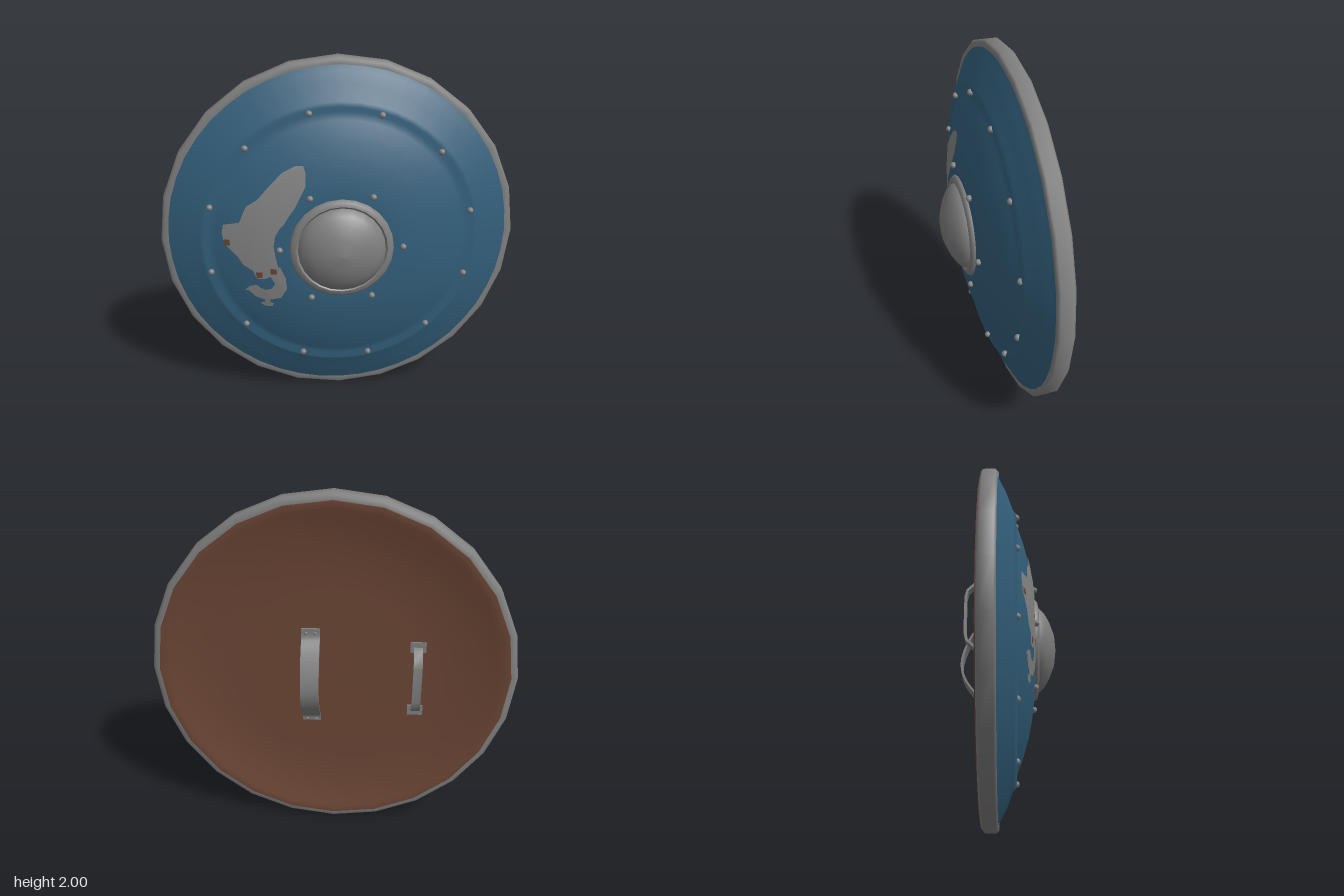
import * as THREE from 'three';
import { toCreasedNormals } from 'three/addons/utils/BufferGeometryUtils.js';

const material = (name, color, side = THREE.FrontSide) => {
  const m = new THREE.MeshStandardMaterial({ color, side });
  m.name = name;
  return m;
};
const V2 = ([x, y]) => new THREE.Vector2(x, y);

// front surface of the board as [radius, z], from edge to centre
const FRONT = [[0.965, -0.055], [0.93, -0.04], [0.87, -0.008], [0.78, 0.026], [0.757, 0.044],
  [0.73, 0.03], [0.69, 0.05], [0.6, 0.082], [0.5, 0.11], [0.4, 0.13], [0.3, 0.142], [0, 0.15]];

function frontZ(r) {
  for (let i = 1; i < FRONT.length; i++) {
    const [r0, z0] = FRONT[i - 1], [r1, z1] = FRONT[i];
    if (r >= r1) return z1 + (z0 - z1) * (r - r1) / (r0 - r1);
  }
  return 0.15;
}

export function createModel() {
  const model = new THREE.Group();
  model.name = 'roundShield';
  const shield = new THREE.Group();
  shield.name = 'shield';
  shield.position.y = 1;
  model.add(shield);

  const blue = material('bluePaint', 0x33607c);
  const brown = material('brownWood', 0x6b4635, THREE.DoubleSide);
  const metal = material('greyMetal', 0x808080);
  const paint = material('greyPaint', 0x858585, THREE.DoubleSide);

  const add = (name, geometry, mat) => {
    const mesh = new THREE.Mesh(geometry, mat);
    mesh.name = name;
    shield.add(mesh);
    return mesh;
  };
  // lathe around the z axis
  const turn = (name, points, sides, mat, crease) => {
    let g = new THREE.LatheGeometry(points.map(V2), sides).rotateX(Math.PI / 2);
    if (crease) g = toCreasedNormals(g, crease);
    return add(name, g, mat);
  };

  // board, backing and rim
  turn('frontBoard', FRONT, 48, blue);
  turn('backBoard', [[0, -0.135], [0.5, -0.135], [0.9, -0.136], [0.925, -0.148], [0.962, -0.146], [0.965, -0.13]],
    24, brown, 0.6);
  turn('rim', [[0.93, -0.136], [0.95, -0.141], [0.985, -0.14], [1, -0.127], [1, -0.062], [0.987, -0.05], [0.955, -0.052]],
    24, metal, 0.9);

  // central boss
  turn('bossCollar', [[0.285, 0.135], [0.285, 0.15], [0.272, 0.162], [0.25, 0.167], [0.238, 0.155]], 24, metal, 0.9);
  turn('bossDome', [[0.24, 0.15], [0.238, 0.172], [0.21, 0.2], [0.165, 0.227], [0.09, 0.256], [0, 0.266]], 24, metal);

  // rivets: an outer ring on the ridge and an inner ring round the boss
  const rivet = new THREE.SphereGeometry(0.018, 10, 6);
  for (const [name, count, radius, start] of [['ridgeRivet', 12, 0.742, 0.222], ['bossRivet', 6, 0.338, 0]]) {
    for (let i = 0; i < count; i++) {
      const a = start + (i / count) * Math.PI * 2;
      add(name, rivet, metal).position.set(radius * Math.cos(a), radius * Math.sin(a), frontZ(radius) + 0.008);
    }
  }

  // painted patches: rows of [x0, y0, x1, y1] laid on the curved front
  const painted = (name, rows, mat, lift = 0.005) => {
    const pos = [], index = [], n = 8, m = 3;
    const steps = (rows.length - 1) * m;
    for (let s = 0; s <= steps; s++) {
      const i = Math.min(Math.floor(s / m), rows.length - 2), t = s / m - i;
      const [x0, y0, x1, y1] = rows[i].map((v, k) => v + (rows[i + 1][k] - v) * t);
      for (let j = 0; j <= n; j++) {
        const x = x0 + (x1 - x0) * j / n, y = y0 + (y1 - y0) * j / n - 1;
        pos.push(x, y, frontZ(Math.hypot(x, y)) + lift);
        if (s < steps && j < n) {
          const a = s * (n + 1) + j, b = a + n + 1;
          index.push(a, b, a + 1, b, b + 1, a + 1);
        }
      }
    }
    const g = new THREE.BufferGeometry();
    g.setAttribute('position', new THREE.Float32BufferAttribute(pos, 3));
    g.setIndex(index);
    g.computeVertexNormals();
    return add(name, g, mat);
  };
  painted('paintedWing', [[1.465, -0.24, -0.2], [1.43, -0.31, -0.19], [1.36, -0.38, -0.19], [1.28, -0.45, -0.23],
    [1.24, -0.51, -0.25], [1.2, -0.53, -0.28], [1.15, -0.55, -0.31], [1.13, -0.64, -0.33], [1.08, -0.65, -0.36],
    [1.02, -0.64, -0.37], [0.95, -0.57, -0.36], [0.9, -0.54, -0.35], [0.87, -0.49, -0.34], [0.82, -0.47, -0.42]]
    .map(([y, a, b]) => [a, y, b, y]), paint);
  painted('paintedTail', [[-0.42, 0.86, -0.34, 0.9], [-0.39, 0.83, -0.31, 0.83], [-0.37, 0.79, -0.305, 0.76],
    [-0.39, 0.76, -0.34, 0.7], [-0.42, 0.75, -0.42, 0.68], [-0.45, 0.76, -0.48, 0.7], [-0.47, 0.78, -0.52, 0.74],
    [-0.51, 0.77, -0.54, 0.74]], paint, 0.006);
  painted('paintedTip', [[-0.43, 0.7, -0.4, 0.7], [-0.43, 0.67, -0.4, 0.67], [-0.46, 0.66, -0.38, 0.66],
    [-0.43, 0.64, -0.39, 0.64]], paint, 0.006);
  // small worn spots
  for (const [x, y] of [[-0.625, 1.03], [-0.455, 0.845], [-0.375, 0.87], [-0.24, 0.895]]) {
    painted('wornSpot', [[x - 0.017, y + 0.017, x + 0.017, y + 0.017], [x - 0.017, y - 0.017, x + 0.017, y - 0.017]],
      brown, 0.009);
  }

  // bent metal strip: path of [z, y], extruded across x
  const strip = (name, path, x, width, thick) => {
    const left = [], right = [];
    path.forEach((p, i) => {
      const a = path[Math.max(i - 1, 0)], b = path[Math.min(i + 1, path.length - 1)];
      const d = p.clone().set(b.x - a.x, b.y - a.y).normalize().multiplyScalar(thick / 2);
      left.push(new THREE.Vector2(p.x - d.y, p.y + d.x));
      right.unshift(new THREE.Vector2(p.x + d.y, p.y - d.x));
    });
    const g = new THREE.ExtrudeGeometry(new THREE.Shape([...left, ...right]), { depth: width, bevelEnabled: false });
    g.rotateY(-Math.PI / 2).translate(x + width / 2, 0, 0);
    return add(name, toCreasedNormals(g, 0.7), metal);
  };

  // arm strap with flat feet
  const strapCurve = new THREE.SplineCurve([[-0.142, 0.27], [-0.145, 0.215], [-0.185, 0.17], [-0.225, 0.1],
    [-0.258, 0.01], [-0.265, -0.07], [-0.24, -0.15], [-0.19, -0.22], [-0.148, -0.265], [-0.142, -0.3]].map(V2));
  strip('armStrap', strapCurve.getPoints(28), 0.12, 0.1, 0.012);

  // hand grip with foot plates
  const grip = [[-0.14, 0.19], [-0.165, 0.18], [-0.205, 0.14], [-0.214, 0.1], [-0.214, -0.1],
    [-0.205, -0.14], [-0.165, -0.18], [-0.14, -0.19]].map(([z, y]) => new THREE.Vector2(z, y - 0.02));
  strip('handGrip', grip, -0.455, 0.048, 0.014);
  for (const s of [1, -1]) {
    add('gripFoot', new THREE.BoxGeometry(0.085, 0.06, 0.012), metal).position.set(-0.455, -0.02 + s * 0.195, -0.138);
    for (const dx of [-0.025, 0.025]) {
      const r = add('strapRivet', rivet, metal);
      r.scale.setScalar(0.5);
      r.position.set(0.12 + dx, s > 0 ? 0.245 : -0.29, -0.147);
    }
  }
  return model;
}
